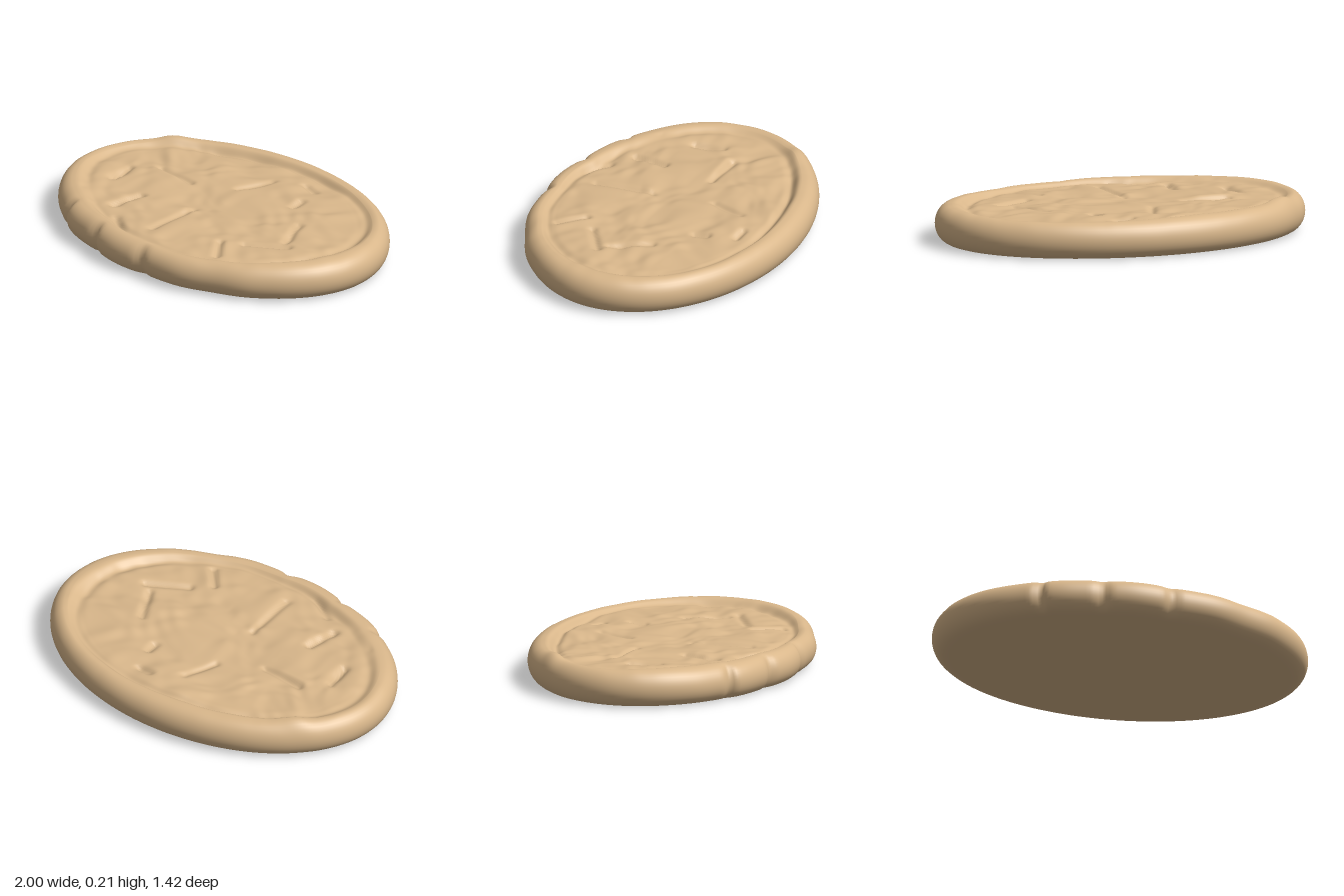
import * as THREE from 'three';

const SEG = 288, RINGS = 64;

// Small seeded hash and smooth value noise for the kneaded surface
const hash = (i, j) => {
  const s = Math.sin(i * 127.1 + j * 311.7 + 4.2) * 43758.5453;
  return s - Math.floor(s);
};
const smooth = THREE.MathUtils.smoothstep;
function noise(x, z) {
  const i = Math.floor(x), j = Math.floor(z);
  const u = smooth(x - i, 0, 1), v = smooth(z - j, 0, 1);
  const a = hash(i, j) + (hash(i + 1, j) - hash(i, j)) * u;
  const b = hash(i, j + 1) + (hash(i + 1, j + 1) - hash(i, j + 1)) * u;
  return (a + (b - a) * v) * 2 - 1;
}
const bell = (d, w) => Math.exp(-(d * d) / (w * w));

// Pinched notches on the front edge: x, z, depth, width
const notches = [[-0.61, 0.56, 0.03, 0.022], [-0.29, 0.66, 0.025, 0.025], [0.08, 0.69, 0.022, 0.025]];

// Short creases in the top: x1, z1, x2, z2, depth
const creases = [
  [-0.56, -0.09, -0.33, -0.08, 0.018], [-0.68, 0.02, -0.66, 0.17, 0.022],
  [-0.39, 0.22, -0.42, 0.40, 0.024], [-0.08, 0.15, -0.06, 0.46, 0.016],
  [0.46, -0.1, 0.56, 0.1, 0.018], [0.42, 0.26, 0.62, 0.14, 0.018],
  [0.32, 0.34, 0.42, 0.46, 0.022], [0.13, -0.47, 0.2, -0.46, 0.02],
  [0.25, -0.32, 0.26, -0.25, 0.02], [-0.03, -0.38, -0.1, -0.2, 0.014],
  [-0.3, 0.49, -0.17, 0.58, 0.02], [-0.68, 0.38, -0.6, 0.53, 0.016],
];
function segmentDistance(x, z, [x1, z1, x2, z2]) {
  const dx = x2 - x1, dz = z2 - z1;
  const t = THREE.MathUtils.clamp(((x - x1) * dx + (z - z1) * dz) / (dx * dx + dz * dz), 0, 1);
  return Math.hypot(x - x1 - dx * t, z - z1 - dz * t);
}

// Point on the oval, moved inward by "inset"; t = 0 is +x, rising toward +z
function ovalPoint(t, inset) {
  const x = Math.cos(t) * (1 - inset), z = Math.sin(t) * (0.71 - inset);
  let pull = 0;
  for (const [nx, nz, depth, w] of notches) {
    const nt = Math.atan2(nz / 0.71, nx);
    pull += depth * bell(t - nt, w * 1.4) * (1 - smooth(inset, 0, 0.12));
  }
  const wave = 0.006 * Math.sin(t * 14) * smooth(Math.sin(t), 0.55, 0.9);
  const k = 1 - (pull + wave * (1 - smooth(inset, 0, 0.2))) / Math.hypot(x, z);
  return [x * k, z * k];
}

// Height of the upper surface: soft rim, groove inside it, lumpy field
function topHeight(x, z, t, inset) {
  const frontLeft = bell(t - 2.4, 0.4);
  const right = bell(t, 0.25);
  const grooveInset = 0.135 + 0.02 * Math.sin(t * 3 + 1);
  const groove = 0.022 * (1 - 0.9 * frontLeft) * (1 - 0.4 * right) * bell(inset - grooveInset, 0.028);
  const inside = smooth(inset, 0.1, 0.17);
  let y = 0.197 - 0.02 * inside - groove - 0.012 * smooth(z, 0.25, 0.6);
  const wx = x + 0.07 * noise(x * 4 + 9, z * 4), wz = z + 0.07 * noise(x * 4, z * 4 + 5);
  const lumps = 0.009 * noise(wx * 6, wz * 8) + 0.006 * noise(wx * 13 + 3, wz * 15);
  y += lumps * (0.2 + 0.8 * inside);
  for (const c of creases) y -= c[4] * bell(segmentDistance(x, z, c), 0.02) * inside;
  y += 0.017 * bell(x + 0.74, 0.1) * bell(z + 0.37, 0.07);
  return y;
}

// Joins closed loops of points into a surface, ending in a single centre point
function skin(loops, centre) {
  const pos = loops.flat(2).concat(centre), idx = [];
  for (let r = 0; r < loops.length; r++) {
    for (let s = 0; s < SEG; s++) {
      const a = r * SEG + s, b = r * SEG + (s + 1) % SEG;
      if (r === loops.length - 1) idx.push(a, loops.length * SEG, b);
      else idx.push(a, a + SEG, b, b, a + SEG, b + SEG);
    }
  }
  const g = new THREE.BufferGeometry();
  g.setAttribute('position', new THREE.Float32BufferAttribute(pos, 3));
  g.setIndex(idx);
  g.computeVertexNormals();
  return g;
}
const loop = (fn) => Array.from({ length: SEG }, (_, s) => {
  let t = (s / SEG) * Math.PI * 2;
  if (t > Math.PI) t -= Math.PI * 2;
  return fn(t);
});

export function createModel() {
  const dough = new THREE.MeshStandardMaterial({ color: 0xd9b78b });
  dough.name = 'dough';
  const group = new THREE.Group();
  group.name = 'flatDough';

  // Rounded side from the base up to the rim crest
  const loops = [];
  const SIDE = 18;
  for (let i = 0; i <= SIDE; i++) {
    const a = -Math.PI / 2 + (i / SIDE) * Math.PI;
    const inset = 0.09 * (1 - Math.pow(Math.cos(a), 0.9));
    loops.push(loop((t) => {
      const [x, z] = ovalPoint(t, inset);
      return [x, (0.5 + 0.5 * Math.sin(a)) * topHeight(x, z, t, inset), z];
    }));
  }
  // Top, closer rings near the rim groove
  for (let i = 1; i < RINGS; i++) {
    const f = i / RINGS, blend = Math.pow(f, 1.25);
    loops.push(loop((t) => {
      const [ex, ez] = ovalPoint(t, 0.09);
      const x = ex * (1 - blend), z = ez * (1 - blend);
      const inset = 0.09 + blend * 0.75;
      return [x, topHeight(x, z, t, inset), z];
    }));
  }
  const body = new THREE.Mesh(skin(loops, [0, topHeight(0, 0, 0, 0.84), 0]), dough);
  body.name = 'kneadedBody';
  group.add(body);

  // Flat underside
  const rim = loop((t) => {
    const [x, z] = ovalPoint(-t, 0.09);
    return [x, 0, z];
  });
  const base = new THREE.Mesh(skin([rim], [0, 0, 0]), dough);
  base.name = 'flatBase';
  group.add(base);
  return group;
}
